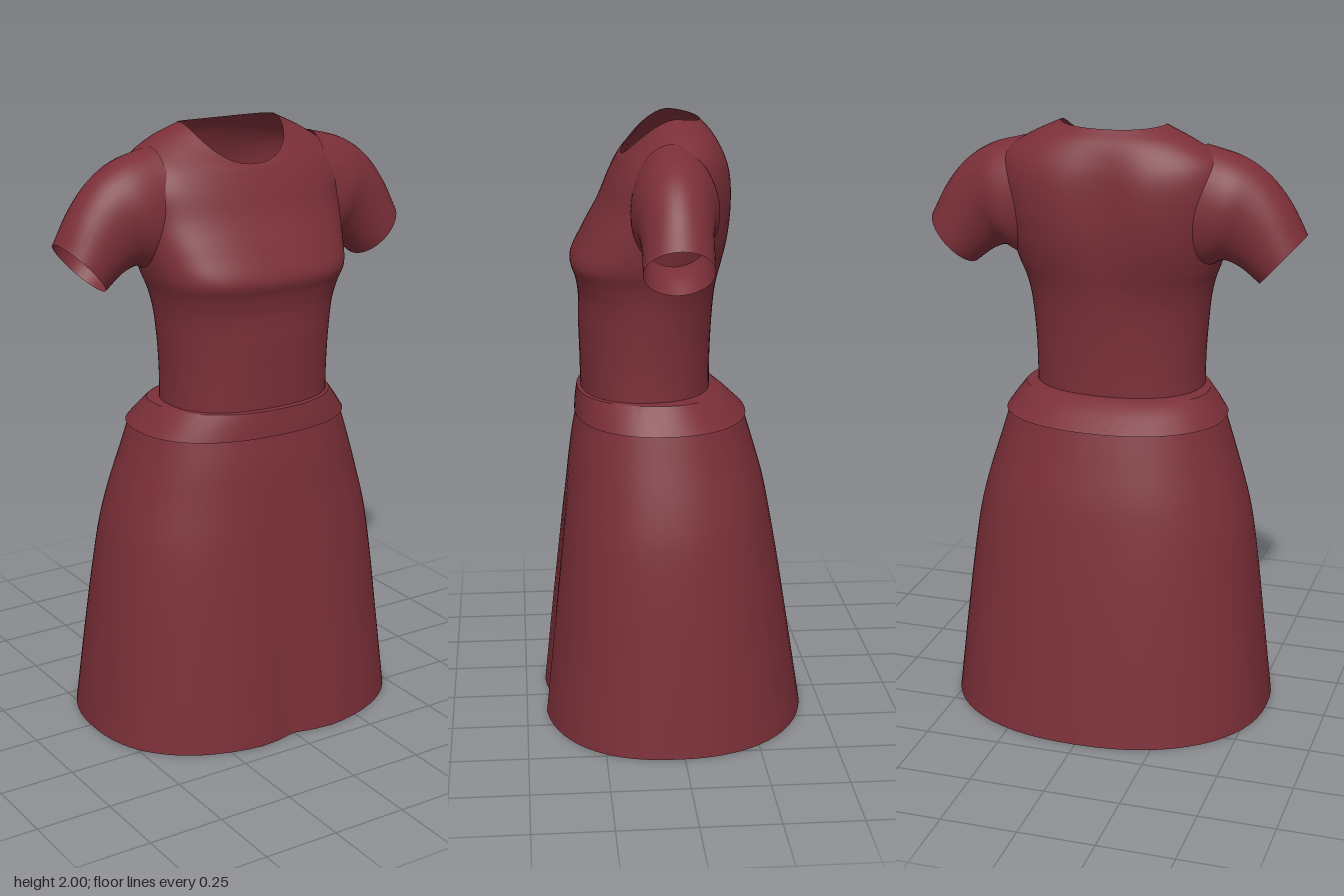
import * as THREE from 'three';
import { toCreasedNormals } from 'three/addons/utils/BufferGeometryUtils.js';

// Skin a closed surface over sections; pointAt(section, angle) gives one rim point.
function loft(sections, pointAt, around, along, smooth = true) {
  const positions = [], index = [];
  const rows = smooth ? along : sections.length - 1;
  const columns = [];
  for (let j = 0; j < around; j++) {
    const pts = sections.map(s => pointAt(s, (j / around) * Math.PI * 2));
    columns.push(smooth ? new THREE.CatmullRomCurve3(pts) : pts);
  }
  for (let i = 0; i <= rows; i++) {
    for (let j = 0; j < around; j++) {
      const p = smooth ? columns[j].getPoint(i / rows) : columns[j][i];
      positions.push(p.x, p.y, p.z);
      if (i === rows) continue;
      const k = (j + 1) % around;
      const a = i * around + j, b = i * around + k, c = a + around, d = b + around;
      index.push(a, c, b, b, c, d);
    }
  }
  const g = new THREE.BufferGeometry();
  g.setAttribute('position', new THREE.Float32BufferAttribute(positions, 3));
  g.setIndex(index);
  g.computeVertexNormals();
  return g;
}

// Rounded body outline with separate front and back depths and heights
function ringPoint(s, t) {
  const { w, zf, zb, zc = 0.04, y, yf = y, yb = y, nf = 2.3, nb = 2.2, spine = 0, notch = 0 } = s;
  const c = Math.cos(t), sn = Math.sin(t), front = sn >= 0;
  const n = front ? nf : nb;
  const x = w * Math.sign(c) * Math.pow(Math.abs(c), 2 / n);
  const q = Math.pow(Math.abs(sn), 2 / n);
  let z = zc + ((front ? zf : zb) - zc) * q;
  if (front) z -= notch * Math.exp(-((x / 0.08) ** 2));
  else z += spine * Math.exp(-((x / 0.1) ** 2));
  const h = y + ((front ? yf : yb) - y) * Math.pow(Math.abs(sn), 1.4);
  return new THREE.Vector3(x, h, z);
}

export function createModel() {
  const model = new THREE.Group();
  const cloth = new THREE.MeshStandardMaterial({ color: 0x7b2f38, side: THREE.DoubleSide });
  cloth.name = 'burgundy cloth';
  const add = (name, geometry) => {
    const mesh = new THREE.Mesh(geometry, cloth);
    mesh.name = name;
    model.add(mesh);
  };

  // Bodice: waist, bust, chest, shoulders, then the scooped neckline
  const bodice = [
    { y: 1.06, w: 0.285, zf: 0.30, zb: -0.125, zc: 0.09 },
    { y: 1.20, w: 0.285, zf: 0.302, zb: -0.125, zc: 0.09 },
    { y: 1.32, w: 0.292, zf: 0.305, zb: -0.13, zc: 0.09 },
    { y: 1.42, w: 0.302, zf: 0.305, zb: -0.138, zc: 0.08, nf: 2.5 },
    { y: 1.48, w: 0.315, zf: 0.315, zb: -0.15, zc: 0.07, nf: 2.7, spine: 0.005 },
    { y: 1.535, w: 0.335, zf: 0.33, zb: -0.165, zc: 0.06, nf: 2.8, spine: 0.01 },
    { y: 1.62, w: 0.355, zf: 0.292, zb: -0.185, zc: 0.04, nf: 2.7, spine: 0.02 },
    { y: 1.72, w: 0.37, zf: 0.237, zb: -0.195, zc: 0.02, nf: 2.6, spine: 0.028 },
    { y: 1.82, yf: 1.80, w: 0.38, zf: 0.203, zb: -0.19, zc: 0.01, nf: 2.5, spine: 0.028 },
    { y: 1.89, yf: 1.845, yb: 1.88, w: 0.36, zf: 0.182, zb: -0.172, zc: 0, spine: 0.02 },
    { y: 1.947, yf: 1.865, yb: 1.945, w: 0.28, zf: 0.172, zb: -0.135, zc: -0.01, spine: 0.008 },
    { y: 1.997, yf: 1.875, yb: 1.985, w: 0.174, zf: 0.162, zb: -0.092, zc: 0 },
  ];
  add('bodice', loft(bodice, ringPoint, 72, 66));

  // Short sleeves, from the open cuff in to the shoulder: top and bottom [x, y], front and back z
  const sleeve = [
    { top: [0.63, 1.662], low: [0.485, 1.502], zf: 0.13, zb: -0.088 },
    { top: [0.575, 1.765], low: [0.42, 1.55], zf: 0.13, zb: -0.09 },
    { top: [0.505, 1.848], low: [0.365, 1.568], zf: 0.138, zb: -0.1 },
    { top: [0.42, 1.902], low: [0.325, 1.55], zf: 0.152, zb: -0.12 },
    { top: [0.30, 1.936], low: [0.27, 1.53], zf: 0.15, zb: -0.12 },
  ];
  for (const side of [1, -1]) {
    const point = (s, t) => {
      const k = (1 + Math.cos(t)) / 2, sn = Math.sin(t * side);
      return new THREE.Vector3(
        side * THREE.MathUtils.lerp(s.low[0], s.top[0], k),
        THREE.MathUtils.lerp(s.low[1], s.top[1], k),
        0.02 + Math.abs(sn) * ((sn >= 0 ? s.zf : s.zb) - 0.02) * Math.sign(Math.abs(sn)));
    };
    add(side > 0 ? 'leftSleeve' : 'rightSleeve', loft(sleeve, point, 40, 24));
  }

  // Flared waistband with its edges turned in to the bodice and skirt
  const band = [
    { y: 1.027, w: 0.355, zf: 0.31, zb: -0.23 },
    { y: 1.025, w: 0.374, zf: 0.322, zb: -0.246 },
    { y: 1.07, w: 0.343, zf: 0.319, zb: -0.198 },
    { y: 1.11, w: 0.312, zf: 0.313, zb: -0.15 },
    { y: 1.115, w: 0.28, zf: 0.298, zb: -0.12, zc: 0.09 },
  ];
  add('waistband', toCreasedNormals(loft(band, ringPoint, 64, 4, false), 0.7));

  // Skirt: open at the hem, with a shallow centre pleat at the front
  const skirt = [
    { y: 0, w: 0.546, zf: 0.442, zb: -0.44, zc: 0.02, nf: 2.4, notch: 0.03 },
    { y: 0.3, w: 0.513, zf: 0.41, zb: -0.393, zc: 0.02, nf: 2.4, notch: 0.022 },
    { y: 0.5, w: 0.49, zf: 0.387, zb: -0.361, zc: 0.025, nf: 2.4, notch: 0.014 },
    { y: 0.68, w: 0.464, zf: 0.366, zb: -0.329, zc: 0.03, nf: 2.35, notch: 0.008 },
    { y: 0.8, w: 0.434, zf: 0.35, zb: -0.305, zc: 0.035 },
    { y: 0.93, w: 0.394, zf: 0.334, zb: -0.268 },
    { y: 1.035, w: 0.362, zf: 0.315, zb: -0.236 },
  ];
  add('skirt', loft(skirt, ringPoint, 64, 30));

  return model;
}
